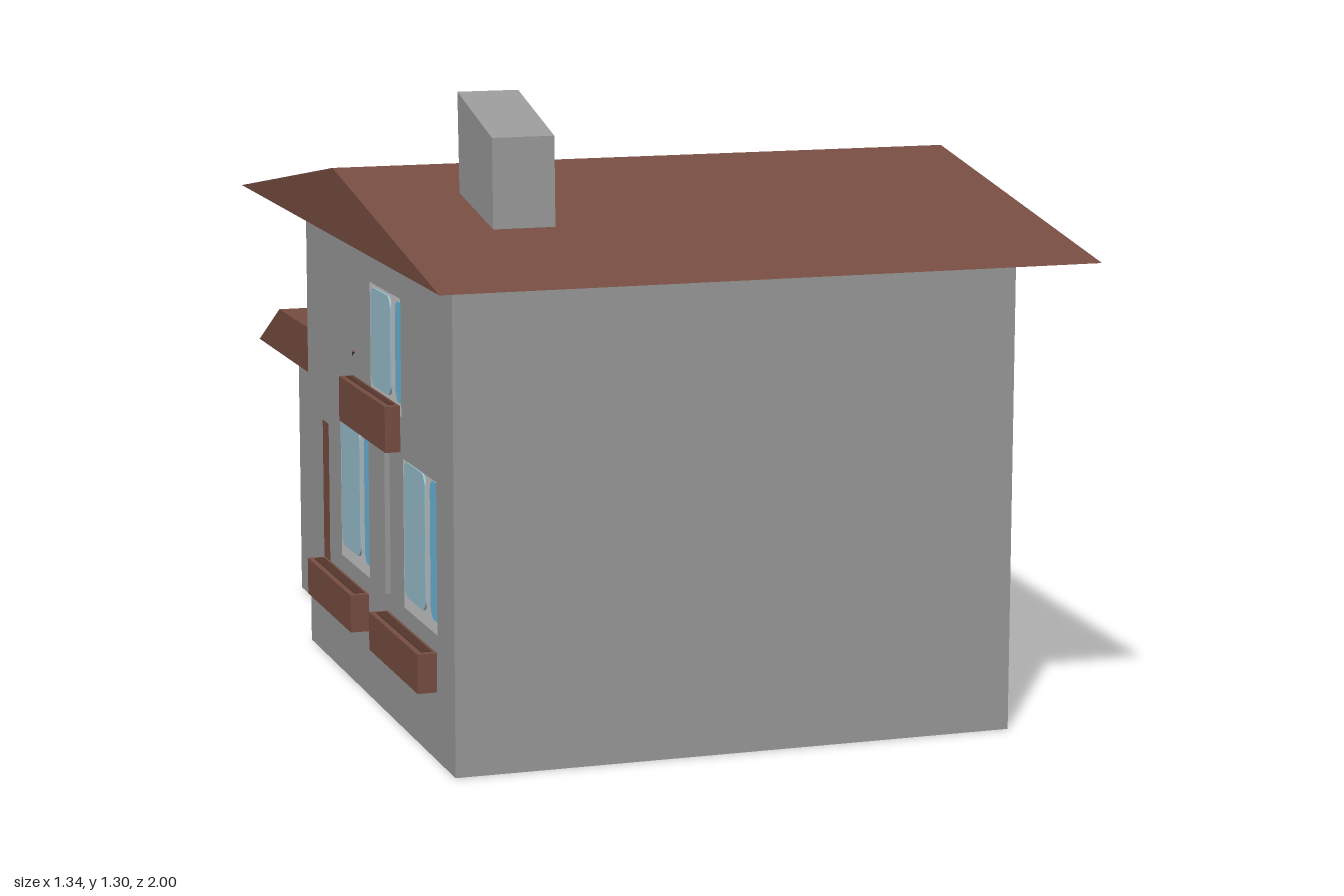
import * as THREE from 'three';

export function createModel() {
  const house = new THREE.Group();
  house.name = 'house';

  const mat = (name, color) => {
    const m = new THREE.MeshStandardMaterial({ color });
    m.name = name;
    return m;
  };
  const wallGrey = mat('wallGrey', 0x999999);
  const brown = mat('roofBrown', 0x774d41);
  const soil = mat('soilBrown', 0x55362d);
  const frameGrey = mat('frameGrey', 0xc8c8c8);
  const blue = mat('glassBlue', 0x6cb8dc);
  const paleBlue = mat('glassPale', 0x98bfcc);

  // Outline in side view from [z, y] points
  const outline = (pts, Type = THREE.Shape) =>
    new Type(pts.map(([z, y]) => new THREE.Vector2(-z, y)));
  const rectPts = (z0, z1, y0, y1) => [[z0, y0], [z1, y0], [z1, y1], [z0, y1]];
  const rect = (...r) => outline(rectPts(...r));

  // Rectangle with rounded corners in side view
  const roundRect = (z0, z1, y0, y1, r) => {
    const s = new THREE.Shape();
    const a = -z1, b = -z0, q = Math.PI / 2;
    s.absarc(b - r, y0 + r, r, -q, 0);
    s.absarc(b - r, y1 - r, r, 0, q);
    s.absarc(a + r, y1 - r, r, q, 2 * q);
    s.absarc(a + r, y0 + r, r, 2 * q, 3 * q);
    return s;
  };

  // Extrude a side outline from x0 to x1
  const prism = (name, material, shape, x0, x1, parent = house) => {
    const g = new THREE.ExtrudeGeometry(shape, { depth: x1 - x0, bevelEnabled: false, curveSegments: 5 });
    g.rotateY(Math.PI / 2);
    g.translate(x0, 0, 0);
    const m = new THREE.Mesh(g, material);
    m.name = name;
    parent.add(m);
    return m;
  };

  // Wall slab with openings, on the window side
  const pierced = (name, wall, holes, x0, x1) => {
    const s = rect(...wall);
    holes.forEach((h) => s.holes.push(outline(rectPts(...h), THREE.Path)));
    prism(name, wallGrey, s, x0, x1);
  };

  // Main block
  const windows = [
    { hole: [-0.28, 0.12, 0.22, 0.565], box: [-0.27, 0.11, 0.14, 0.22], out: -0.625 },
    { hole: [0.25, 0.65, 0.22, 0.565], box: [0.265, 0.645, 0.14, 0.22], out: -0.625 },
    { hole: [-0.01, 0.39, 0.62, 0.89], box: [0, 0.38, 0.575, 0.67], out: -0.617 },
  ];
  const mainWall = [-0.41, 0.775, 0, 0.994];
  prism('mainBlock', wallGrey, rect(...mainWall), -0.54, 0.588);
  pierced('windowWall', mainWall, windows.map((w) => w.hole), -0.585, -0.54);

  // Recessed windows with two panes and a planter each
  windows.forEach(({ hole: [z0, z1, y0, y1], box: [b0, b1, c0, c1], out }) => {
    const win = new THREE.Group();
    win.name = 'window';
    house.add(win);
    prism('windowFrame', frameGrey, rect(z0, z1, y0, y1), -0.545, -0.54, win);
    const mid = (z0 + z1) / 2;
    const pane = (name, m, a, b) =>
      prism(name, m, roundRect(a, b, y0 + 0.03, y1 - 0.03, 0.025), -0.549, -0.545, win);
    pane('backPane', paleBlue, z0 + 0.02, mid - 0.02);
    pane('frontPane', blue, mid + 0.02, z1 - 0.02);
    prism('planter', brown, rect(b0, b1, c0, c1), out, -0.585, win);
    prism('planterSoil', soil, rect(b0 + 0.015, b1 - 0.015, c1, c1 + 0.002), out + 0.012, -0.592, win);
  });

  // Main gable roof
  prism('mainRoof', brown, outline([[1, 0.99], [-0.66, 1], [0.19, 1.135]]), -0.672, 0.67);

  // Rear annex with recessed door
  const annexWall = [-0.9, -0.41, 0.005, 0.592];
  const door = [-0.785, -0.535, 0.02, 0.45];
  prism('annex', wallGrey, rect(...annexWall), -0.466, 0.588);
  pierced('doorWall', annexWall, [door], -0.49, -0.466);
  prism('door', brown, rect(...door), -0.471, -0.466);
  const knob = new THREE.Mesh(new THREE.SphereGeometry(0.014, 12, 8), frameGrey);
  knob.name = 'doorKnob';
  knob.position.set(-0.483, 0.2, -0.572);
  house.add(knob);

  // Slanted annex roof, running into the main block
  prism('annexRoof', brown, outline([[-0.37, 0.59], [-1, 0.59], [-0.79, 0.692], [-0.16, 0.692]]), -0.56, 0.66);

  // Chimney with a sloping top
  prism('chimney', wallGrey, outline([[0.632, 1.01], [0.395, 1.01], [0.38, 1.302], [0.625, 1.235]]), -0.46, -0.333);

  return house;
}
